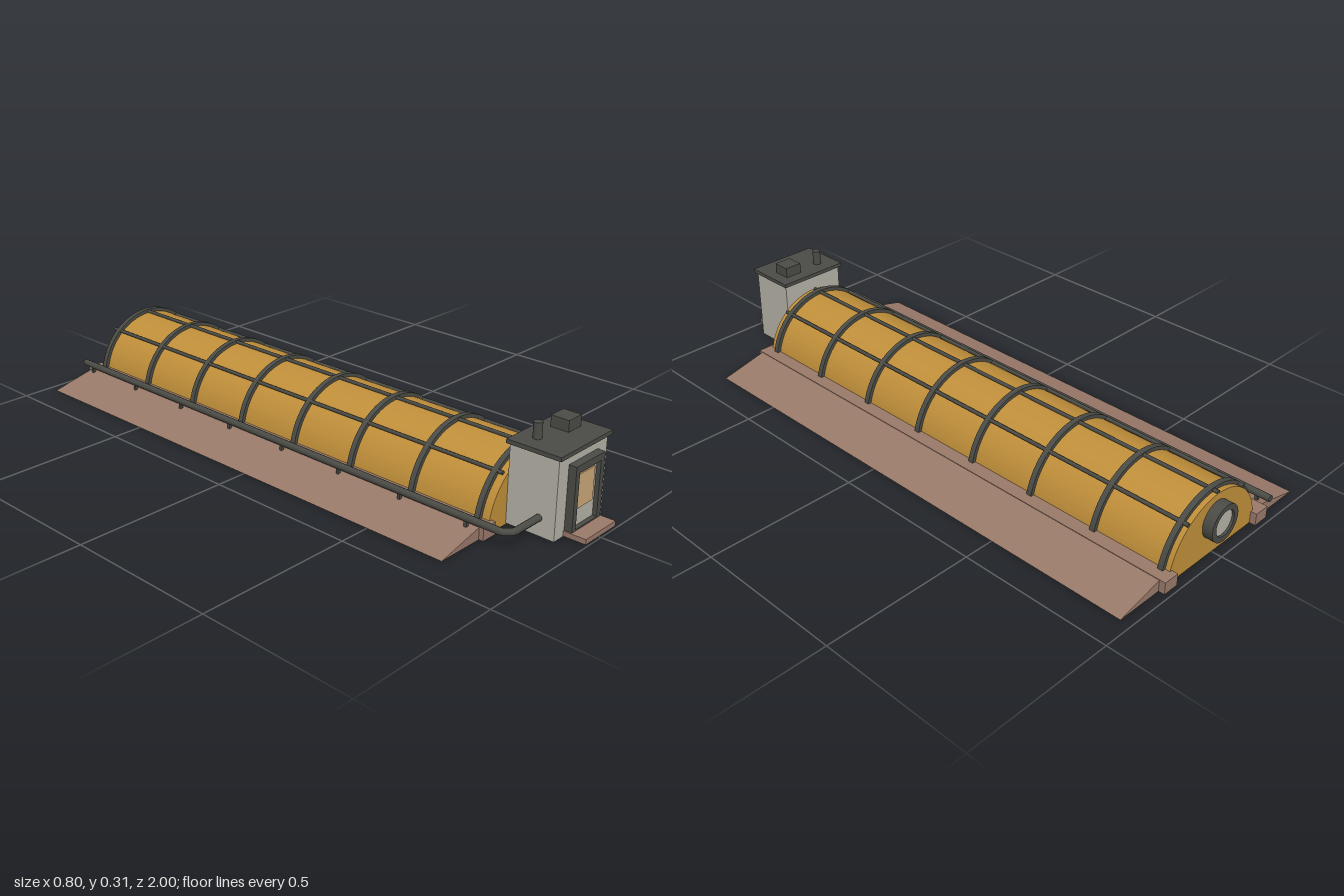
import * as THREE from 'three';

const mat = (name, color, side = THREE.FrontSide) => {
  const m = new THREE.MeshStandardMaterial({ color, side });
  m.name = name;
  return m;
};

export function createModel() {
  const amber = mat('amber glazing', 0xc08f3a);
  const dark = mat('dark metal', 0x4b4c46);
  const wall = mat('pale wall', 0xb6b2a8);
  const earth = mat('brown earth', 0x9a7a6a);
  const pane = mat('door pane', 0xcba878);
  const root = new THREE.Group();
  root.name = 'tunnelGreenhouse';

  const add = (name, geo, material, x = 0, y = 0, z = 0, parent = root) => {
    const mesh = new THREE.Mesh(geo, material);
    mesh.name = name;
    mesh.position.set(x, y, z);
    parent.add(mesh);
    return mesh;
  };
  // Box given by its extents
  const box = (name, material, [x0, x1], [y0, y1], [z0, z1], parent) =>
    add(name, new THREE.BoxGeometry(x1 - x0, y1 - y0, z1 - z0), material,
      (x0 + x1) / 2, (y0 + y1) / 2, (z0 + z1) / 2, parent);
  // Cylinder lying along z
  const rodZ = (name, material, r, x, y, z0, z1, sides = 12, parent = root) => {
    const geo = new THREE.CylinderGeometry(r, r, z1 - z0, sides).rotateX(Math.PI / 2);
    return add(name, geo, material, x, y, (z0 + z1) / 2, parent);
  };
  const extrude = (shape, z0, z1) =>
    new THREE.ExtrudeGeometry(shape, { depth: z1 - z0, bevelEnabled: false, curveSegments: 28 }).translate(0, 0, z0);

  const BACK = -0.965, FRONT = 0.765;

  // Half-round glazed tunnel with closed ends
  const arch = new THREE.Shape();
  arch.absarc(0, 0, 0.198, 0, Math.PI, false);
  arch.closePath();
  add('tunnelGlazing', extrude(arch, BACK, FRONT), amber);

  // Hoops over the tunnel
  const hoop = new THREE.Shape();
  hoop.absarc(0, 0, 0.21, 0, Math.PI, false);
  hoop.absarc(0, 0, 0.193, Math.PI, 0, true);
  hoop.closePath();
  const hoopGeo = extrude(hoop, -0.009, 0.009);
  for (let i = 0; i < 8; i++) add('hoop', hoopGeo, dark, 0, 0, -0.94 + i * 0.2386);

  // Lengthwise purlins
  for (const a of [-0.67, 0, 0.67])
    rodZ('purlin', dark, 0.006, Math.sin(a) * 0.206, Math.cos(a) * 0.203, BACK, 0.755, 8);

  // Curbs and sloping earth berms on both sides
  for (const s of [-1, 1]) {
    box('curb', earth, [s * 0.2125 - 0.0275, s * 0.2125 + 0.0275], [0.0005, 0.04], [-0.985, 0.78]);
    const slope = new THREE.Shape([
      new THREE.Vector2(s * 0.198, 0), new THREE.Vector2(s * 0.4, 0),
      new THREE.Vector2(s * 0.24, 0.038), new THREE.Vector2(s * 0.198, 0.038),
    ]);
    add('berm', extrude(slope, BACK, FRONT), earth);
  }

  // Entrance room
  const room = new THREE.Group();
  room.name = 'entranceRoom';
  root.add(room);
  box('walls', wall, [-0.117, 0.117], [0.004, 0.25], [0.765, 0.925], room);
  box('roof', dark, [-0.125, 0.125], [0.249, 0.262], [0.757, 0.935], room);
  box('roofUnit', dark, [0.025, 0.086], [0.262, 0.297], [0.797, 0.857], room);
  add('chimney', new THREE.CylinderGeometry(0.0135, 0.0135, 0.05, 16), dark, -0.063, 0.286, 0.815, room);
  box('step', earth, [-0.074, 0.074], [0.006, 0.022], [0.925, 0.998], room);

  // Door frame, leaf, pane and handle
  const frame = new THREE.Shape([
    new THREE.Vector2(-0.07, 0.022), new THREE.Vector2(0.07, 0.022),
    new THREE.Vector2(0.07, 0.22), new THREE.Vector2(-0.07, 0.22),
  ]);
  frame.holes.push(new THREE.Path([
    new THREE.Vector2(-0.052, 0.026), new THREE.Vector2(-0.052, 0.198),
    new THREE.Vector2(0.052, 0.198), new THREE.Vector2(0.052, 0.026),
  ]));
  add('doorFrame', extrude(frame, 0.924, 0.95), dark, 0, 0, 0, room);
  box('doorLeaf', wall, [-0.052, 0.052], [0.024, 0.199], [0.924, 0.936], room);
  box('doorPane', pane, [-0.04, 0.04], [0.08, 0.184], [0.935, 0.94], room);

  // Round vent on the back end
  const vent = new THREE.Group();
  vent.name = 'backVent';
  root.add(vent);
  const ring = new THREE.Shape();
  ring.absarc(0, 0.115, 0.06, 0, Math.PI * 2, false);
  const hole = new THREE.Path();
  hole.absarc(0, 0.115, 0.042, 0, Math.PI * 2, true);
  ring.holes.push(hole);
  add('ventRing', extrude(ring, -0.998, BACK), dark, 0, 0, 0, vent);
  rodZ('ventDisc', wall, 0.043, 0, 0.115, -0.99, BACK, 32, vent);

  // Service pipe along one side, turning into the room
  const points = [[-0.252, -0.985], [-0.252, 0.848], [-0.228, 0.872], [-0.11, 0.872]]
    .map(([x, z]) => new THREE.Vector3(x, 0.06, z));
  const path = new THREE.CurvePath();
  for (let i = 0; i < 3; i++) path.add(new THREE.LineCurve3(points[i], points[i + 1]));
  add('servicePipe', new THREE.TubeGeometry(path, 160, 0.011, 10, false), dark);
  const cap = new THREE.CircleGeometry(0.011, 10).rotateY(Math.PI);
  add('pipeEnd', cap, dark, -0.252, 0.06, -0.985);
  for (let i = 0; i < 8; i++)
    box('pipeSupport', dark, [-0.258, -0.248], [0.03, 0.055], [-0.945 + i * 0.2386, -0.935 + i * 0.2386]);

  return root;
}
